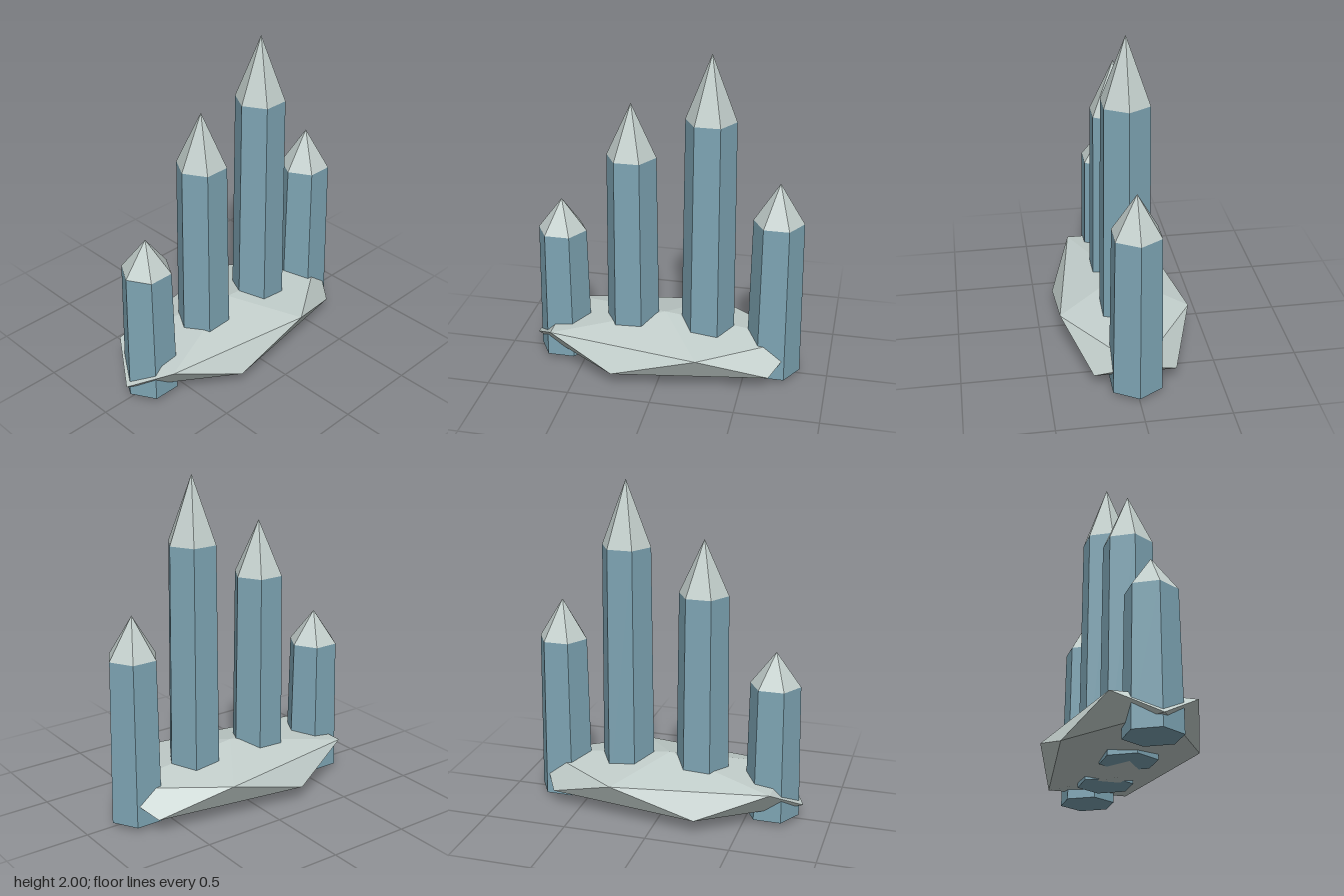
import * as THREE from 'three';
import { ConvexGeometry } from 'three/addons/geometries/ConvexGeometry.js';

export function createModel() {
  const model = new THREE.Group();
  model.name = 'crystalCluster';

  const crystalBlue = new THREE.MeshStandardMaterial({ color: 0x7ea5b4, flatShading: true });
  crystalBlue.name = 'crystal blue';
  const paleStone = new THREE.MeshStandardMaterial({ color: 0xc2cecb, flatShading: true });
  paleStone.name = 'pale stone';

  // Base rock: a flattened icosahedron, two poles and two staggered rings of five
  const cx = -0.005, cy = 0.172, rx = 0.83, ry = 0.167, rz = 0.41;
  const points = [new THREE.Vector3(cx, cy + ry, 0), new THREE.Vector3(cx, cy - ry, 0)];
  for (let i = 0; i < 10; i++) {
    const a = (i * Math.PI) / 5;
    const y = cy + (i % 2 ? -1 : 1) * ry * 0.447;
    points.push(new THREE.Vector3(cx + rx * Math.cos(a), y, rz * Math.sin(a)));
  }
  const base = new THREE.Mesh(new ConvexGeometry(points), paleStone);
  base.name = 'baseRock';
  model.add(base);

  // Hexagonal crystals: tapered shaft with a pointed tip, corners along x
  const bottom = 0.03, rBottom = 0.165, rTop = 0.15;
  function addCrystal(name, x, shoulder, apex) {
    const crystal = new THREE.Group();
    crystal.name = name;
    crystal.position.x = x;

    const h = shoulder - bottom;
    const shaft = new THREE.Mesh(
      new THREE.CylinderGeometry(rTop, rBottom, h, 6, 1, false, Math.PI / 2), crystalBlue);
    shaft.name = 'shaft';
    shaft.position.y = bottom + h / 2;

    const t = apex - shoulder;
    const tip = new THREE.Mesh(
      new THREE.ConeGeometry(rTop, t, 6, 1, true, Math.PI / 2), paleStone);
    tip.name = 'tip';
    tip.position.y = shoulder + t / 2;

    crystal.add(shaft, tip);
    model.add(crystal);
  }
  addCrystal('outerRightCrystal', -0.645, 0.845, 1.045);
  addCrystal('innerRightCrystal', -0.21, 1.355, 1.68);
  addCrystal('innerLeftCrystal', 0.258, 1.61, 2.0);
  addCrystal('outerLeftCrystal', 0.667, 1.015, 1.257);

  return model;
}
